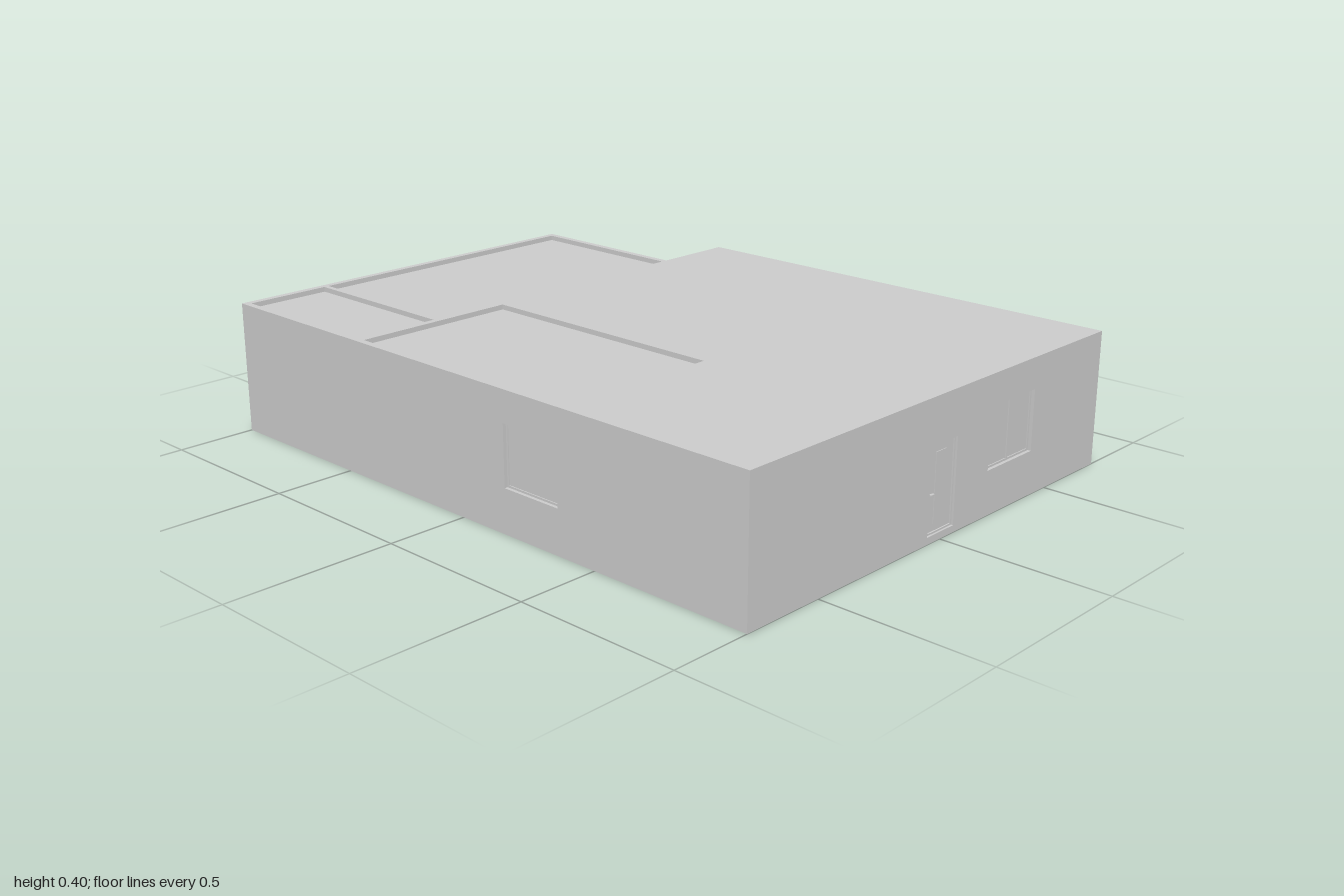
import * as THREE from 'three';

const H = 0.4, T = 0.02, D = 0.757;
const grey = new THREE.MeshStandardMaterial({ color: 0xcccccc, flatShading: true });

export function createModel() {
  const house = new THREE.Group();
  house.name = 'house';

  // Box given by its limits on each axis
  const slab = (name, x0, x1, y0, y1, z0, z1, parent = house) => {
    const m = new THREE.Mesh(new THREE.BoxGeometry(x1 - x0, y1 - y0, z1 - z0), grey);
    m.position.set((x0 + x1) / 2, (y0 + y1) / 2, (z0 + z1) / 2);
    m.name = name;
    parent.add(m);
  };

  // Rectangular frame around an opening, in wall coordinates
  const frame = (name, [a, b, y0, y1], w, zBack, zFront, parent) => {
    slab(name, a, a + w, y0, y1, zBack, zFront, parent);
    slab(name, b - w, b, y0, y1, zBack, zFront, parent);
    slab(name, a + w, b - w, y0, y0 + w, zBack, zFront, parent);
    slab(name, a + w, b - w, y1 - w, y1, zBack, zFront, parent);
  };

  const fillWindow = (o, mullion, parent) => {
    const [a, b, y0, y1] = o, mid = (a + b) / 2;
    slab('windowPane', a, b, y0, y1, -0.016, -0.013, parent);
    frame('windowFrame', o, 0.006, -0.016, -0.01, parent);
    if (mullion) slab('windowMullion', mid - 0.003, mid + 0.003, y0 + 0.006, y1 - 0.006, -0.016, -0.01, parent);
  };

  const fillDoor = (o, parent) => {
    const [a, b, y0, y1] = o;
    slab('doorLeaf', a, b, y0, y1, -0.016, -0.01, parent);
    frame('doorFrame', o, 0.005, -0.016, -0.006, parent);
    slab('doorPanel', a + 0.035, b - 0.035, y0 + 0.025, y1 - 0.025, -0.011, -0.008, parent);
    slab('doorHandle', a + 0.012, a + 0.028, 0.128, 0.132, -0.01, -0.002, parent);
  };

  // Wall starting at a corner, outer face along local +z; openings are [from, to, bottom, top]
  const wall = (name, x, z, angle, length, windows = [], doors = [], mullion = true) => {
    const g = new THREE.Group();
    g.name = name;
    const rect = (P, a, b, y0, y1) => {
      const p = new P();
      p.moveTo(a, y0).lineTo(b, y0).lineTo(b, y1).lineTo(a, y1).closePath();
      return p;
    };
    const shape = rect(THREE.Shape, 0, length, 0, H);
    for (const o of [...windows, ...doors]) shape.holes.push(rect(THREE.Path, ...o));
    const geo = new THREE.ExtrudeGeometry(shape, { depth: T, bevelEnabled: false }).translate(0, 0, -T);
    const m = new THREE.Mesh(geo, grey);
    m.name = name + 'Body';
    g.add(m);
    windows.forEach(o => fillWindow(o, mullion, g));
    doors.forEach(o => fillDoor(o, g));
    g.position.set(x, 0, z);
    g.rotation.y = angle;
    house.add(g);
  };

  const q = Math.PI / 2, y0 = 0.13, y1 = 0.308;

  // Outer walls
  wall('frontWall', -1, D, 0, 2, [[1.17, 1.37, y0, y1]], [], false);
  wall('leftWall', 1, D, q, 2 * D, [[0.967, 1.177, y0, y1]], [[0.702, 0.817, 0.02, 0.268]]);
  wall('backWall', 1, -D, 2 * q, 1.45, [[0.68, 0.92, y0, y1], [1.125, 1.37, y0, y1]]);
  wall('wingBackWall', -0.45, -0.5, 2 * q, 0.55);
  wall('rightWall', -1, -0.5, -q, D + 0.5,
    [[0.035, 0.237, y0, y1], [0.37, 0.555, y0, y1], [0.71, 0.91, y0, y1]]);

  // Wall between wing and main block, also the notch face
  wall('wingDividingWall', -0.45, -D, -q, 2 * D);

  // Inner partitions
  const in0 = -1 + T, inF = D - T;
  slab('wingPartition', in0, -0.45, 0, H, 0.458, 0.474);
  slab('crossPartition', -0.43, 1 - T, 0, H, 0.212, 0.228);
  slab('frontRoomPartition', 0.38, 0.396, 0, H, -0.18, inF);
  slab('backRoomPartition', 0.396, 1 - T, 0, H, -0.18, -0.164);

  // Floors
  slab('mainFloor', -0.43, 1 - T, 0, 0.02, -D + T, inF);
  slab('wingFloor', in0, -0.45, 0, 0.02, -0.48, inF);

  // Sunken ceilings, with the wall tops standing proud
  const c0 = 0.37, c1 = 0.385;
  slab('wingBackCeiling', in0, -0.45, c0, c1, -0.48, 0.458);
  slab('wingFrontCeiling', in0, -0.45, c0, c1, 0.474, inF);
  slab('frontRoomCeiling', -0.43, 0.38, c0, c1, 0.228, inF);

  // Ceilings level with the wall tops
  slab('mainCeiling', -0.43, 1 - T, c1, H, -D + T, 0.212);
  slab('frontCornerCeiling', 0.396, 1 - T, c1, H, 0.228, inF);

  return house;
}
